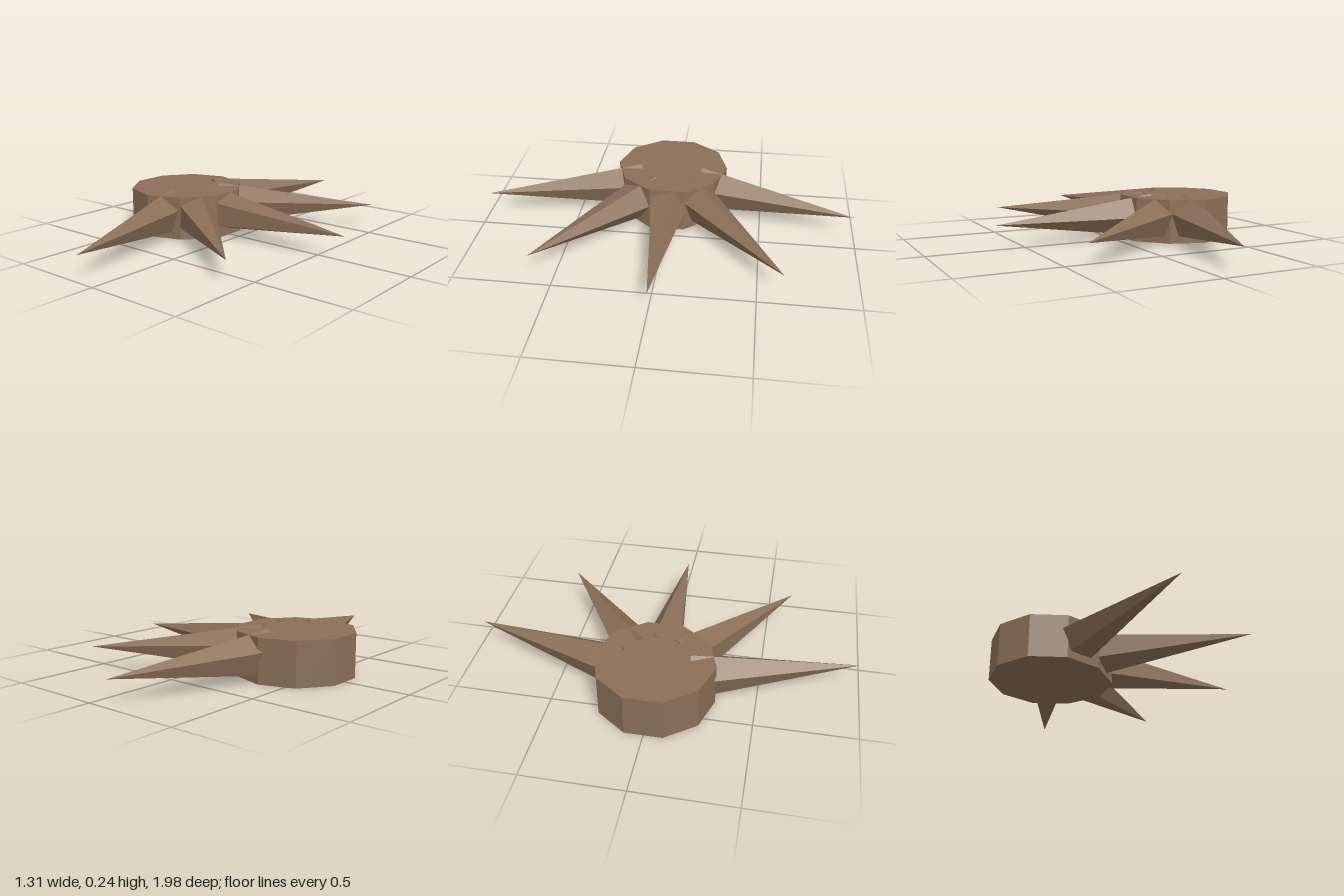
import * as THREE from 'three';

const CENTRE_X = -0.373;
const HEIGHT = 0.225;
const SPIKE_Y = 0.122;

export function createModel() {
  const model = new THREE.Group();
  const material = new THREE.MeshStandardMaterial({ color: 0x8b7057, flatShading: true });

  // Ten-sided body, its foot flared slightly on the spiked side
  const bodyGeometry = new THREE.CylinderGeometry(0.302, 0.302, HEIGHT, 10);
  const pos = bodyGeometry.attributes.position;
  for (let i = 0; i < pos.count; i++) {
    if (pos.getY(i) < 0 && pos.getX(i) > 0.25) pos.setX(i, pos.getX(i) + 0.02);
  }
  bodyGeometry.computeVertexNormals();
  const body = new THREE.Mesh(bodyGeometry, material);
  body.name = 'body';
  body.position.set(CENTRE_X, HEIGHT / 2, 0);
  model.add(body);

  // Five-sided spikes fanned around the body: [angle, roll] in degrees
  const inner = 0.173, outer = 1.025;
  const spikes = [[-75, 0], [-37.5, -18], [0, -18], [37.5, 0], [75, 0]];
  spikes.forEach(([angle, roll], i) => {
    const geometry = new THREE.ConeGeometry(0.12, outer - inner, 5);
    geometry.rotateY(-Math.PI / 2 + THREE.MathUtils.degToRad(roll));
    geometry.rotateZ(-Math.PI / 2);
    geometry.translate((inner + outer) / 2, 0, 0);
    const spike = new THREE.Mesh(geometry, material);
    spike.name = `spike${i + 1}`;
    spike.position.set(CENTRE_X, SPIKE_Y, 0);
    spike.rotation.y = THREE.MathUtils.degToRad(angle);
    model.add(spike);
  });

  return model;
}
